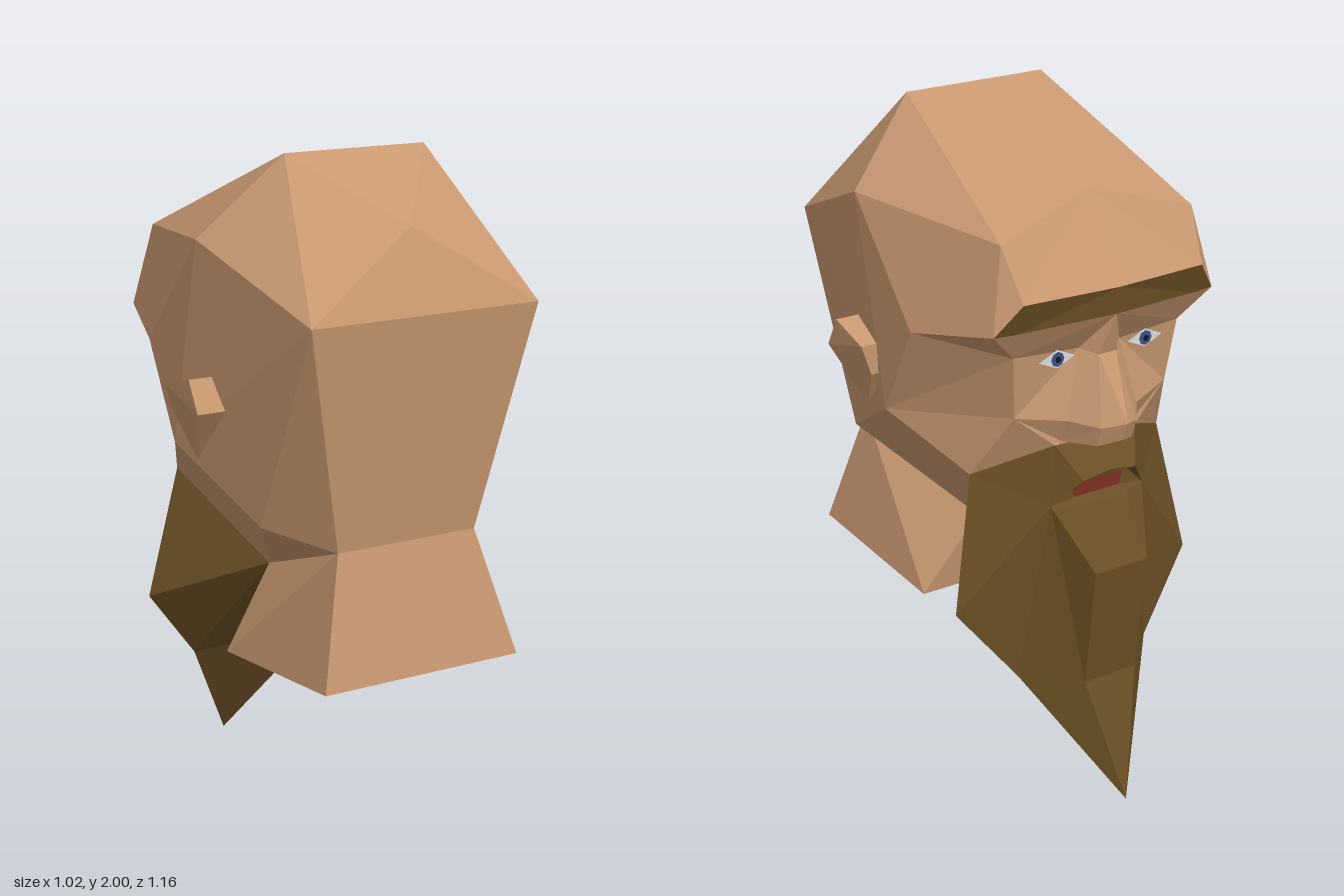
import * as THREE from 'three';

const material = (color) => new THREE.MeshStandardMaterial({ color, flatShading: true, side: THREE.DoubleSide });
const skin = material(0xc89870), hair = material(0x6b5024), lip = material(0x7a3020);
const white = material(0xd8dce0), blue = material(0x3c4f86), black = material(0x15151a);

// Named corners of the left half; a trailing ' means the mirrored corner
const P = {
  // skull
  crown: [0.23, 2, 0.21], back0: [0, 1.82, 0.49], back: [0.37, 1.59, 0.58], nape: [0.23, 0.93, 0.49],
  temple: [0.46, 1.77, 0.12], fore0: [0, 1.82, -0.35], fore: [0.32, 1.73, -0.4], jaw: [0.37, 0.98, 0.31],
  cheekbone: [0.46, 1.165, -0.02], throat: [0.15, 0.75, -0.02], side: [0.46, 1.44, -0.165],
  // brow and face
  brow0: [0, 1.58, -0.5], brow: [0.3, 1.58, -0.48], browEnd: [0.37, 1.49, -0.44],
  under0: [0, 1.5, -0.49], under: [0.3, 1.49, -0.45], eyeOut: [0.28, 1.4, -0.4], eyeIn: [0.07, 1.39, -0.41],
  cheek: [0.26, 1.21, -0.375], burn: [0.33, 1.015, -0.255],
  // nose
  bridge: [0.03, 1.375, -0.45], tip0: [0, 1.195, -0.55], tip: [0.06, 1.18, -0.51], base0: [0, 1.14, -0.53],
  base: [0.06, 1.12, -0.49], wing: [0.12, 1.19, -0.43], wingLow: [0.12, 1.12, -0.4], septum: [0, 1.11, -0.41],
  // neck
  neckBack: [0.325, 0.56, 0.58], neckFront: [0.32, 0.515, 0.02],
  // beard and mouth
  lipTop: [0.14, 1.11, -0.4], stache: [0.09, 1.015, -0.47], stache0: [0, 1.03, -0.475],
  corner: [0.16, 0.93, -0.41], chin: [0.07, 0.93, -0.45], chinLow: [0.09, 0.75, -0.535],
  flare: [0.41, 0.61, -0.3], hem: [0.23, 0.38, -0.35], ridge: [0.09, 0.38, -0.49], point: [0, 0, -0.58],
  mouthTop: [0.09, 1.0, -0.41], mouthLow: [0.08, 0.94, -0.41],
  // ear
  earTop: [0.51, 1.39, 0.16], earFront: [0.51, 1.35, 0.02], earNotch: [0.48, 1.26, 0.02], earBack: [0.51, 1.3, 0.21],
  rootTop: [0.43, 1.39, 0.16], rootFront: [0.43, 1.35, 0.02], rootNotch: [0.43, 1.26, 0.02],
  rootBack: [0.42, 1.3, 0.21], lobe: [0.45, 1.14, 0.095],
};

const corner = (name) => {
  const flip = name.endsWith("'");
  const [x, y, z] = P[flip ? name.slice(0, -1) : name];
  return new THREE.Vector3(flip ? -x : x, y, z);
};

// Fans each polygon into triangles turned away from `centre`; `halves` are also mirrored
function facets(name, mat, centre, halves, middle = []) {
  const pos = [], c = new THREE.Vector3(...centre);
  const add = (polygon, mirror) => {
    const pts = polygon.split(' ').map(corner);
    for (let i = 1; i < pts.length - 1; i++) {
      let t = [pts[0], pts[i], pts[i + 1]];
      const n = new THREE.Triangle(...t).getNormal(new THREE.Vector3());
      const mid = t[0].clone().add(t[1]).add(t[2]).divideScalar(3);
      if (n.dot(mid.sub(c)) < 0) t = [t[0], t[2], t[1]];
      for (const v of t) pos.push(v.x, v.y, v.z);
      if (mirror) for (const v of [t[0], t[2], t[1]]) pos.push(-v.x, v.y, v.z);
    }
  };
  halves.forEach((f) => add(f, true));
  middle.forEach((f) => add(f, false));
  const geo = new THREE.BufferGeometry();
  geo.setAttribute('position', new THREE.Float32BufferAttribute(pos, 3));
  geo.computeVertexNormals();
  const mesh = new THREE.Mesh(geo, mat);
  mesh.name = name;
  return mesh;
}

function eye(sign) {
  const group = new THREE.Group();
  group.name = sign > 0 ? 'leftEye' : 'rightEye';
  // Flat discs stacked toward the face: eyeball, iris, pupil
  [['eyeWhite', 0.06, 4, white, 0.45], ['iris', 0.022, 8, blue, 1], ['pupil', 0.01, 6, black, 1]].forEach(
    ([name, r, sides, mat, squash], i) => {
      const disc = new THREE.Mesh(new THREE.CircleGeometry(r, sides), mat);
      disc.name = name;
      disc.rotation.y = Math.PI;
      disc.scale.y = squash;
      disc.position.z = -0.003 * i;
      group.add(disc);
    });
  group.position.set(0.15 * sign, 1.378, -0.422);
  return group;
}

export function createModel() {
  const model = new THREE.Group();
  model.name = 'beardedHead';

  model.add(facets('skull', skin, [0, 1.35, 0], [
    'crown back0 back', 'crown back temple', 'crown fore0 fore', 'crown fore temple',
    'temple fore side', 'temple side cheekbone', 'temple cheekbone back',
    'back cheekbone jaw', 'back jaw nape', 'jaw nape throat', 'jaw throat cheekbone',
    'cheekbone throat burn', 'fore0 fore brow brow0', 'fore browEnd brow', 'fore side browEnd',
  ], ["crown crown' fore0", "crown crown' back0", "back0 back back'", "back back' nape' nape"]));

  model.add(facets('face', skin, [0, 1.3, -0.1], [
    'side browEnd eyeOut', 'browEnd under eyeOut', 'under0 under eyeOut eyeIn',
    'side eyeOut cheekbone', 'cheekbone eyeOut cheek', 'cheekbone cheek burn',
    'eyeIn eyeOut cheek wing', 'wing cheek wingLow', 'cheek lipTop wingLow', 'cheek burn lipTop',
  ]));

  model.add(facets('nose', skin, [0, 1.25, -0.4], [
    'under0 bridge eyeIn', 'bridge eyeIn wing', 'bridge wing tip', 'bridge tip tip0',
    'tip0 tip base base0', 'tip wing wingLow base', 'base0 base wingLow septum',
  ], ["under0 bridge bridge'", "bridge bridge' tip0"]));

  model.add(facets('eyebrows', hair, [0, 1.5, -0.2], ['brow0 brow under under0', 'brow browEnd under']));
  model.add(eye(1), eye(-1));

  model.add(facets('ears', skin, [0, 1.28, 0.1], [
    'earTop earFront earBack', 'earFront earNotch earBack', 'earNotch lobe earBack',
    'earTop earFront rootFront rootTop', 'earFront earNotch rootNotch rootFront',
    'earNotch lobe rootNotch', 'earBack lobe rootBack', 'earTop earBack rootBack rootTop',
  ]));

  // Open at the bottom
  model.add(facets('neck', skin, [0, 0.7, 0.28], ['nape throat neckFront neckBack'],
    ["nape nape' neckBack' neckBack", "throat throat' neckFront' neckFront"]));

  model.add(facets('beard', hair, [0, 0.7, -0.33], [
    'septum lipTop stache stache0', 'lipTop burn corner', 'lipTop corner stache',
    'burn throat flare', 'burn flare corner', 'throat hem flare', 'flare hem corner',
    'corner chin chinLow', 'corner chinLow ridge', 'corner ridge hem', 'hem ridge point',
    'corner stache mouthTop', 'corner mouthTop mouthLow', 'corner mouthLow chin',
  ], [
    "throat throat' hem' hem", "hem hem' point", "ridge ridge' point", "chinLow chinLow' ridge' ridge",
    "chin chin' chinLow' chinLow", "stache stache0 stache' mouthTop' mouthTop", "chin chin' mouthLow' mouthLow",
  ]));
  model.add(facets('mouth', lip, [0, 0.97, -0.2], [], ["mouthTop mouthTop' mouthLow' mouthLow"]));

  return model;
}
